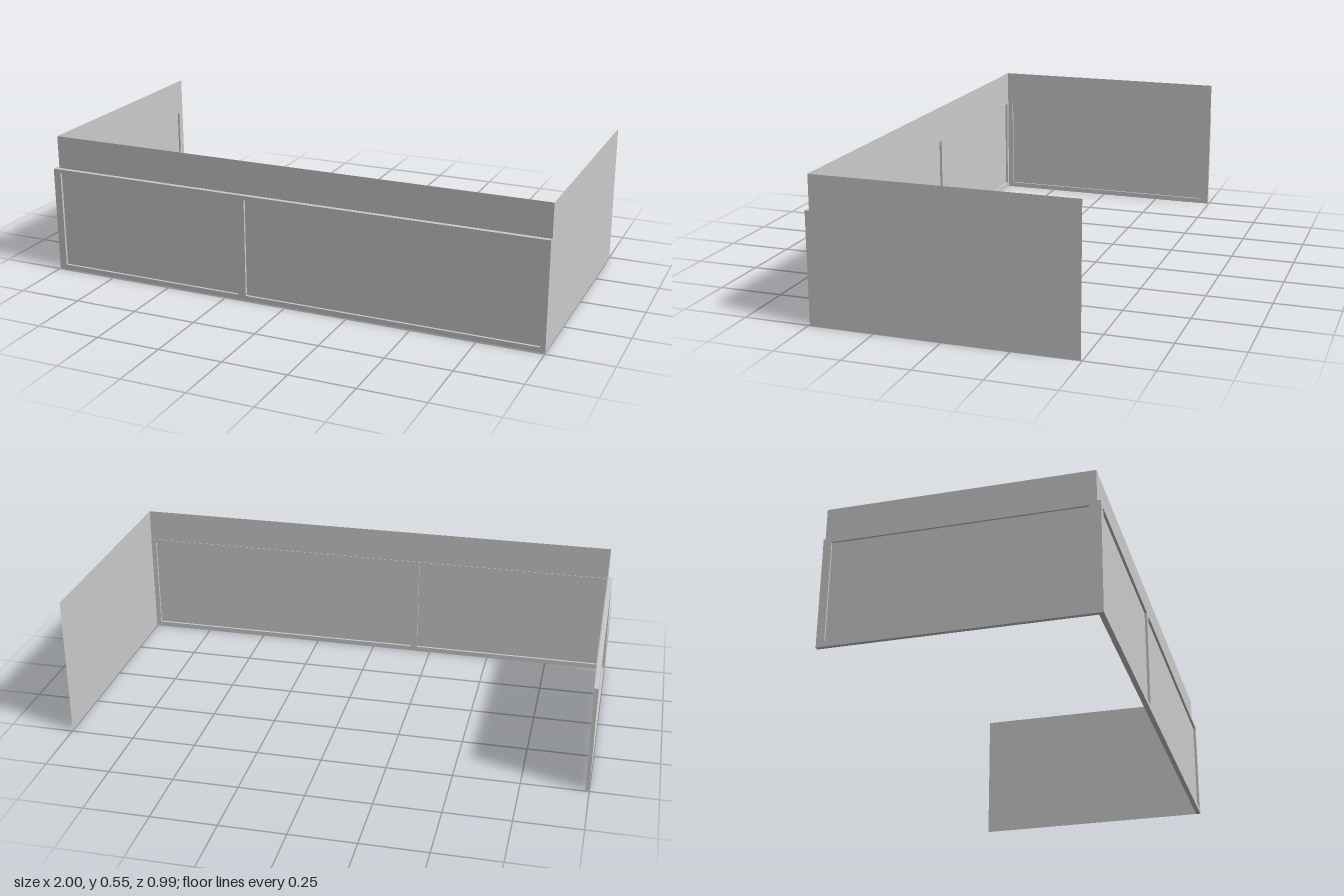
import * as THREE from 'three';

const material = new THREE.MeshStandardMaterial({ color: 0xcccccc });
const sheetMaterial = new THREE.MeshStandardMaterial({ color: 0xcccccc, side: THREE.DoubleSide });

const RAIL_TOP = 0.42;
const TOP = 0.55;

function polygon(points) {
  return new THREE.Shape(points.map(([u, v]) => new THREE.Vector2(u, v)));
}

function rectangle(u0, u1, v0, v1) {
  return [[u0, v0], [u1, v0], [u1, v1], [u0, v1]];
}

// Flat sheet without thickness, visible from both sides
function sheet(name, points, depth) {
  const mesh = new THREE.Mesh(new THREE.ShapeGeometry(polygon(points)), sheetMaterial);
  mesh.name = name;
  mesh.position.z = depth;
  return mesh;
}

// Framed railing side: u runs along it, depth 0 is its inner face
function railing(name, u0, u1, thickness, openings, bandStart, bandEnd, bandDepth) {
  const group = new THREE.Group();
  group.name = name;
  const outline = polygon(rectangle(u0, u1, 0, RAIL_TOP));
  for (const [a, b] of openings) {
    const hole = rectangle(a, b, 0.02, 0.405);
    outline.holes.push(polygon(hole.reverse()));
    group.add(sheet('infillPanel', hole, thickness / 2));
  }
  const frame = new THREE.Mesh(
    new THREE.ExtrudeGeometry(outline, { depth: thickness, bevelEnabled: false }), material);
  frame.name = 'frame';
  group.add(frame);
  // Upper band standing on the top rail
  group.add(sheet('upperBand', rectangle(bandStart, bandEnd, RAIL_TOP, TOP), bandDepth));
  return group;
}

export function createModel() {
  const model = new THREE.Group();
  model.name = 'balconyRailing';

  // Long front with two openings
  const front = railing('frontRailing', -1, 1, 0.019,
    [[-0.97, -0.195], [-0.165, 0.98]], -0.985, 1, 0.002);
  front.position.z = 0.476;
  model.add(front);

  // Short framed side at -x
  const side = railing('rightRailing', -0.495, 0.476, 0.015,
    [[-0.465, 0.455]], -0.495, 0.478, 0);
  side.rotation.y = -Math.PI / 2;
  side.position.x = -0.985;
  model.add(side);

  // Plain wall sheet at +x, notched above the front rail
  const wall = sheet('leftWall', [
    [-0.495, 0], [0.495, 0], [0.495, RAIL_TOP], [0.478, RAIL_TOP], [0.478, TOP], [-0.495, TOP],
  ], 0);
  wall.rotation.y = -Math.PI / 2;
  wall.position.x = 1;
  model.add(wall);

  return model;
}
